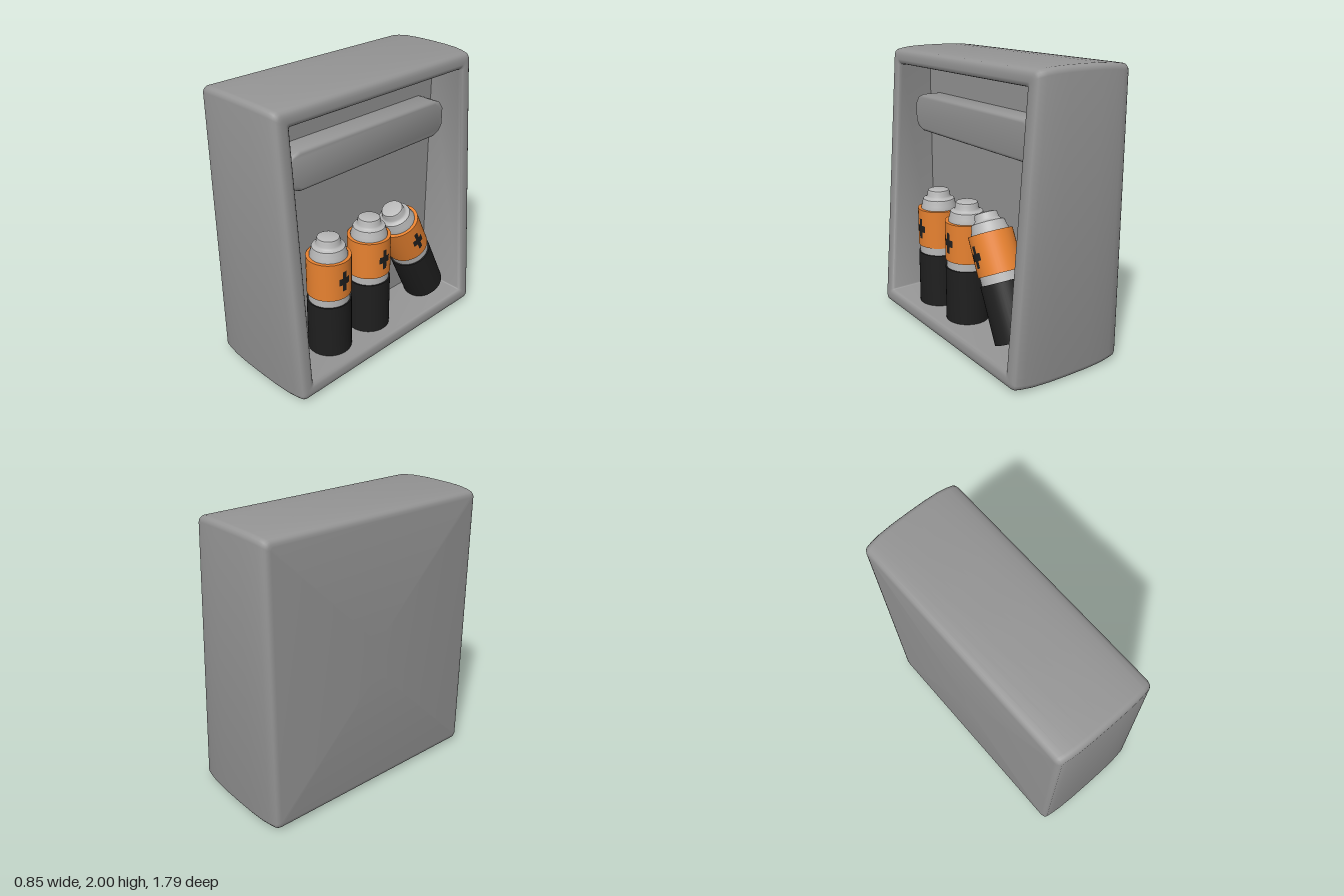
import * as THREE from 'three';
import { toCreasedNormals } from 'three/addons/utils/BufferGeometryUtils.js';

const paint = (color, side = THREE.FrontSide) => new THREE.MeshStandardMaterial({ color, side });
const caseGrey = paint(0x959595);
const metal = paint(0xb8b8b8);
const black = paint(0x1f1f1f);
const orange = paint(0xe88230);
const markBlack = paint(0x1f1f1f, THREE.DoubleSide);

function add(parent, name, geometry, material) {
  const mesh = new THREE.Mesh(geometry, material);
  mesh.name = name;
  parent.add(mesh);
  return mesh;
}

const BACK = -0.43, WALL = 0.03, HALF_WIDTH = 0.893;
const frontAt = (y) => 0.428 - 0.076 * y; // sloping open face

// Rounded rectangle in the y-z plane, running counter-clockwise seen from +x
function ring(inset, radius) {
  const hz = HALF_WIDTH - inset, hy = 1 - inset, points = [];
  for (let corner = 0; corner < 4; corner++) {
    const sz = corner === 0 || corner === 3 ? 1 : -1;
    const sy = corner < 2 ? 1 : -1;
    for (let k = 0; k <= 4; k++) {
      const a = (corner + k / 4) * Math.PI / 2;
      points.push([
        1 + sy * (hy - radius) + radius * Math.sin(a),
        -(sz * (hz - radius) + radius * Math.cos(a)),
      ]);
    }
  }
  return points;
}

// Hollow case: rings lofted from the back, over the rim and into the cavity
function caseGeometry() {
  // [inset, corner radius, x as a function of y]
  const fromBack = (d) => () => BACK + d;
  const fromFront = (d) => (y) => frontAt(y) - d;
  const along = (u) => (y) => BACK + (frontAt(y) - BACK) * u;
  const profile = [
    [HALF_WIDTH, 0, fromBack(0)],
    [0.06, 0.02, fromBack(0)],
    [0.042, 0.03, fromBack(0.003)],
    [0.028, 0.035, fromBack(0.011)],
    [0.019, 0.04, fromBack(0.025)],
    [0.012, 0.04, along(0.09)],
    [0.005, 0.04, along(0.18)],
    [0.001, 0.04, along(0.32)],
    [0, 0.04, along(0.5)],
    [0.001, 0.04, along(0.68)],
    [0.005, 0.04, along(0.82)],
    [0.012, 0.04, along(0.91)],
    [0.019, 0.04, fromFront(0.025)],
    [0.028, 0.035, fromFront(0.011)],
    [0.042, 0.03, fromFront(0.003)],
    [0.06, 0.025, fromFront(0)],
    [0.09, 0.02, fromFront(0)],
    [0.108, 0.015, fromFront(0.004)],
    [0.118, 0.012, fromFront(0.014)],
    [0.123, 0.012, fromFront(0.03)],
    [0.13, 0.012, () => WALL],
    [HALF_WIDTH, 0, () => WALL],
  ];
  const positions = [], index = [], n = 20;
  profile.forEach(([inset, radius, x]) => {
    for (const [y, z] of ring(inset, radius)) positions.push(x(y), y, z);
  });
  for (let i = 0; i < profile.length - 1; i++) {
    for (let j = 0; j < n; j++) {
      const a = i * n + j, b = i * n + (j + 1) % n;
      index.push(a, b, b + n, a, b + n, a + n);
    }
  }
  const geometry = new THREE.BufferGeometry();
  geometry.setAttribute('position', new THREE.Float32BufferAttribute(positions, 3));
  geometry.setIndex(index);
  return toCreasedNormals(geometry, 0.7);
}

// Bar with clipped corners and softened edges, extruded out of the wall towards +x
function barGeometry() {
  const bevel = 0.025, hz = 0.72 - bevel, hy = 0.135 - bevel;
  const quarter = [[hz, 0.055], [hz - 0.025, 0.09], [hz - 0.075, hy]];
  const mirrored = (sz, sy) => quarter.map(([z, y]) => new THREE.Vector2(sz * z, sy * y));
  const outline = new THREE.Shape([
    ...mirrored(1, 1), ...mirrored(-1, 1).reverse(),
    ...mirrored(-1, -1), ...mirrored(1, -1).reverse(),
  ]);
  const geometry = new THREE.ExtrudeGeometry(outline, {
    depth: 0.2, bevelThickness: bevel, bevelSize: bevel, bevelSegments: 4,
  });
  geometry.rotateY(Math.PI / 2);
  return toCreasedNormals(geometry, 0.75);
}

const lathe = (points) => toCreasedNormals(
  new THREE.LatheGeometry(points.map(([r, y]) => new THREE.Vector2(r, y)), 40), 0.7);

// Battery standing on its own origin, with the plus mark facing +x
function battery(name) {
  const g = new THREE.Group();
  g.name = name;
  add(g, 'baseDisc', lathe([[0, 0], [0.145, 0], [0.145, 0.02]]), orange);
  add(g, 'lowerSleeve', lathe([[0.143, 0], [0.154, 0], [0.154, 0.395], [0.143, 0.395]]), black);
  add(g, 'middleBand', lathe([[0.144, 0.38], [0.144, 0.47]]), metal);
  add(g, 'upperSleeve', lathe([[0.143, 0.453], [0.154, 0.453], [0.154, 0.73], [0.12, 0.73]]), orange);
  add(g, 'terminalCap', lathe([
    [0.13, 0.725], [0.13, 0.74], [0.122, 0.76], [0.118, 0.785], [0.113, 0.8], [0.1, 0.806],
    [0.09, 0.811], [0.083, 0.822], [0.081, 0.848], [0.075, 0.863], [0.062, 0.868], [0, 0.868],
  ]), metal);
  // Plus mark wrapped around the sleeve
  for (const [width, height] of [[0.032, 0.15], [0.092, 0.05]]) {
    const angle = width / 0.156;
    const mark = add(g, 'plusMark', new THREE.CylinderGeometry(
      0.156, 0.156, height, 8, 1, true, Math.PI / 2 - angle / 2, angle), markBlack);
    mark.position.y = 0.588;
  }
  return g;
}

export function createModel() {
  const model = new THREE.Group();
  model.name = 'batteryCase';
  add(model, 'case', caseGeometry(), caseGrey);

  // Padded bar across the back wall
  const bar = add(model, 'crossBar', barGeometry(), caseGrey);
  bar.position.set(-0.035, 1.53, 0);

  // Two upright batteries and one leaning on them: [name, y, z, tilt]
  for (const [name, y, z, tilt] of [
    ['leftBattery', 0.13, 0.41, 0],
    ['middleBattery', 0.13, 0.026, 0],
    ['leaningBattery', 0.193, -0.583, 0.453],
  ]) {
    const b = battery(name);
    b.position.set(0.184, y, z);
    b.rotation.x = tilt;
    model.add(b);
  }
  return model;
}
